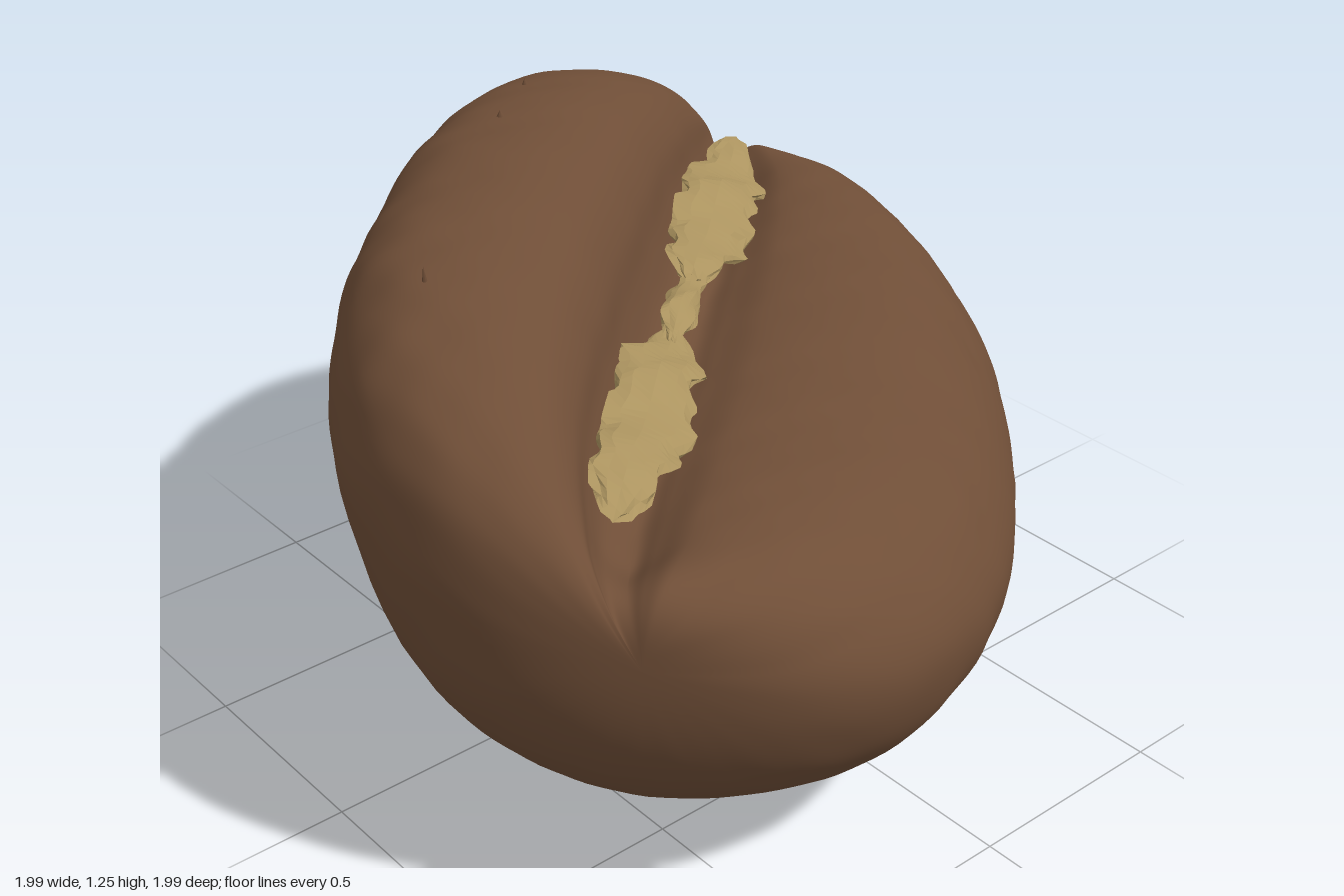
import * as THREE from 'three';

const HALF_LENGTH = 1.085, MID_Y = 0.7;

// Cross-section of the bean as [across, height]: tall rear lobe, crease, low front lobe, belly.
const SECTION = [
  [-0.755, 0.86], [-0.74, 1.00], [-0.68, 1.14], [-0.58, 1.22], [-0.45, 1.245], [-0.32, 1.23],
  [-0.21, 1.175], [-0.145, 1.08], [-0.115, 0.96], [-0.07, 0.86], [0.01, 0.81], [0.07, 0.83],
  [0.16, 0.865], [0.32, 0.87], [0.50, 0.825], [0.66, 0.71], [0.75, 0.53], [0.71, 0.33],
  [0.56, 0.155], [0.35, 0.05], [0.08, 0.005], [-0.20, 0.04], [-0.45, 0.175], [-0.65, 0.43],
];

const { lerp, smoothstep } = THREE.MathUtils;
const taper = (u, n) => Math.pow(Math.max(0, 1 - Math.pow(Math.abs(u) / HALF_LENGTH, n)), 1 / n);
const drift = (u) => 0.07 * u; // the crease runs slightly askew

function ripple(a, b, c) {
  return 0.003 * (Math.sin(9 * a + 4 * b) * Math.sin(8 * c + 3 * a + 1)
    + 0.6 * Math.sin(21 * a - 5 * c) * Math.sin(17 * b + 9 * c)
    + 0.5 * Math.sin(37 * a + 13 * b) * Math.sin(31 * c - 6 * a));
}

// Skins rings of equal size; each ring runs over the top towards +z, rings advance along +x.
function loft(rings) {
  const n = rings[0].length, position = [], index = [];
  rings.forEach((ring) => ring.forEach((p) => position.push(p.x, p.y, p.z)));
  for (let i = 0; i < rings.length - 1; i++) {
    for (let j = 0; j < n; j++) {
      const a = i * n + j, b = i * n + (j + 1) % n;
      index.push(a, b, a + n, b, b + n, a + n);
    }
  }
  const g = new THREE.BufferGeometry();
  g.setAttribute('position', new THREE.Float32BufferAttribute(position, 3));
  g.setIndex(index);
  g.computeVertexNormals();
  return g;
}

function bodyGeometry() {
  const curve = new THREE.CatmullRomCurve3(
    SECTION.map(([v, y]) => new THREE.Vector3(0, y, v)), true, 'centripetal');
  const outline = curve.getPoints(144).slice(0, -1);
  const rings = [], steps = 110;
  for (let i = 0; i <= steps; i++) {
    const c = -Math.cos((Math.PI * i) / steps);
    const u = HALF_LENGTH * Math.sign(c) * Math.pow(Math.abs(c), 0.8);
    const wide = taper(u, 2.5);
    // Each lobe and the belly falls away to the tips at its own rate
    const rear = taper(u, u < 0 ? 2.4 : 3.1);
    const front = taper(u, 4) * (1 + 0.25 * u * u + 0.1 * u);
    const belly = (v) => taper(u, u < 0 ? 2.35 : lerp(1.75, 2.05, smoothstep(v, -0.5, 0.3)));
    const close = smoothstep(Math.abs(u), 0.86, 1.07);
    rings.push(outline.map((p) => {
      const up = p.y > MID_Y;
      let y = p.y, scale, skew = 0;
      if (up) {
        // The crease fills in a little towards both tips
        if (p.z > -0.32 && p.z < 0.32) {
          y += Math.max(0, 1.23 - (p.z + 0.32) * 0.5625 - y) * close * 0.4;
        }
        scale = lerp(rear, front, smoothstep(p.z, -0.2, 0.16));
        skew = drift(u) * (1 - (p.z / 0.755) ** 2) * Math.min(1, (y - MID_Y) / 0.1);
      } else {
        scale = belly(p.z);
      }
      const k = ripple(u, y, p.z) * wide;
      return new THREE.Vector3(
        u,
        MID_Y + (y - MID_Y) * scale + k * Math.sign(y - MID_Y),
        (p.z + skew) * wide + k * Math.sign(p.z));
    }));
  }
  return loft(rings);
}

// Ragged ridge of inner skin lying in the crease from u0 to u1, leaning up to the rear lobe.
function chaffGeometry(u0, u1, width, phase) {
  const rings = [], steps = 34, sides = 12;
  for (let i = 0; i <= steps; i++) {
    const t = i / steps, u = u0 + (u1 - u0) * t;
    const swell = Math.pow(Math.sin(Math.PI * t), 0.5);
    const rag = 1 + 0.14 * Math.sin(23 * u + phase) + 0.12 * Math.sin(51 * u + 2 * phase);
    const ring = [];
    for (let j = 0; j < sides; j++) {
      const a = Math.PI - (2 * Math.PI * j) / sides;
      const lump = 1 + 0.12 * Math.sin(3 * a + 29 * u + phase);
      const s = Math.cos(a) * width * swell * rag * lump;
      const h = Math.sin(a) * 0.025 * swell * lump;
      ring.push(new THREE.Vector3(
        u + 0.01 * Math.sin(5 * a + 40 * u),
        0.9 + 0.015 * u + h - s * 0.36 + 0.012 * Math.sin(17 * u + phase),
        drift(u) - 0.02 + s * 0.93 + h * 0.2));
    }
    rings.push(ring);
  }
  return loft(rings);
}

export function createModel() {
  const roast = new THREE.MeshStandardMaterial({ color: 0x6f4e37 });
  roast.name = 'roastedBrown';
  const tan = new THREE.MeshStandardMaterial({ color: 0xab935f, flatShading: true });
  tan.name = 'chaffTan';

  const model = new THREE.Group();
  model.name = 'coffeeBean';
  const bean = new THREE.Group();
  bean.name = 'bean';
  bean.rotation.y = Math.PI / 4; // long axis lies on the diagonal
  model.add(bean);

  const add = (name, geometry, material) => {
    const mesh = new THREE.Mesh(geometry, material);
    mesh.name = name;
    bean.add(mesh);
    return mesh;
  };

  add('body', bodyGeometry(), roast);

  // Chaff: two broad patches joined by a thin pinched strip
  add('chaffNearEnd', chaffGeometry(-0.84, -0.06, 0.1, 0.6), tan);
  add('chaffMiddle', chaffGeometry(-0.16, 0.26, 0.04, 2.1), tan);
  add('chaffFarEnd', chaffGeometry(0.14, 0.96, 0.105, 4.0), tan);

  // Tiny husk splinters on the rear lobe: [along, height, across, length]
  [[-0.5, 1.21, -0.49, 0.07], [0.3, 1.245, -0.46, 0.02], [0.55, 1.225, -0.44, 0.025]]
    .forEach(([u, y, v, length]) => {
      const splinter = add('huskSplinter', new THREE.ConeGeometry(0.01, length, 6), roast);
      splinter.position.set(u, y, v);
      splinter.rotation.z = 0.2;
    });

  // Rest the bean on the ground, centred
  model.updateMatrixWorld(true);
  const box = new THREE.Box3().setFromObject(bean, true);
  const centre = box.getCenter(new THREE.Vector3());
  bean.position.set(-centre.x, -box.min.y, -centre.z);
  return model;
}
